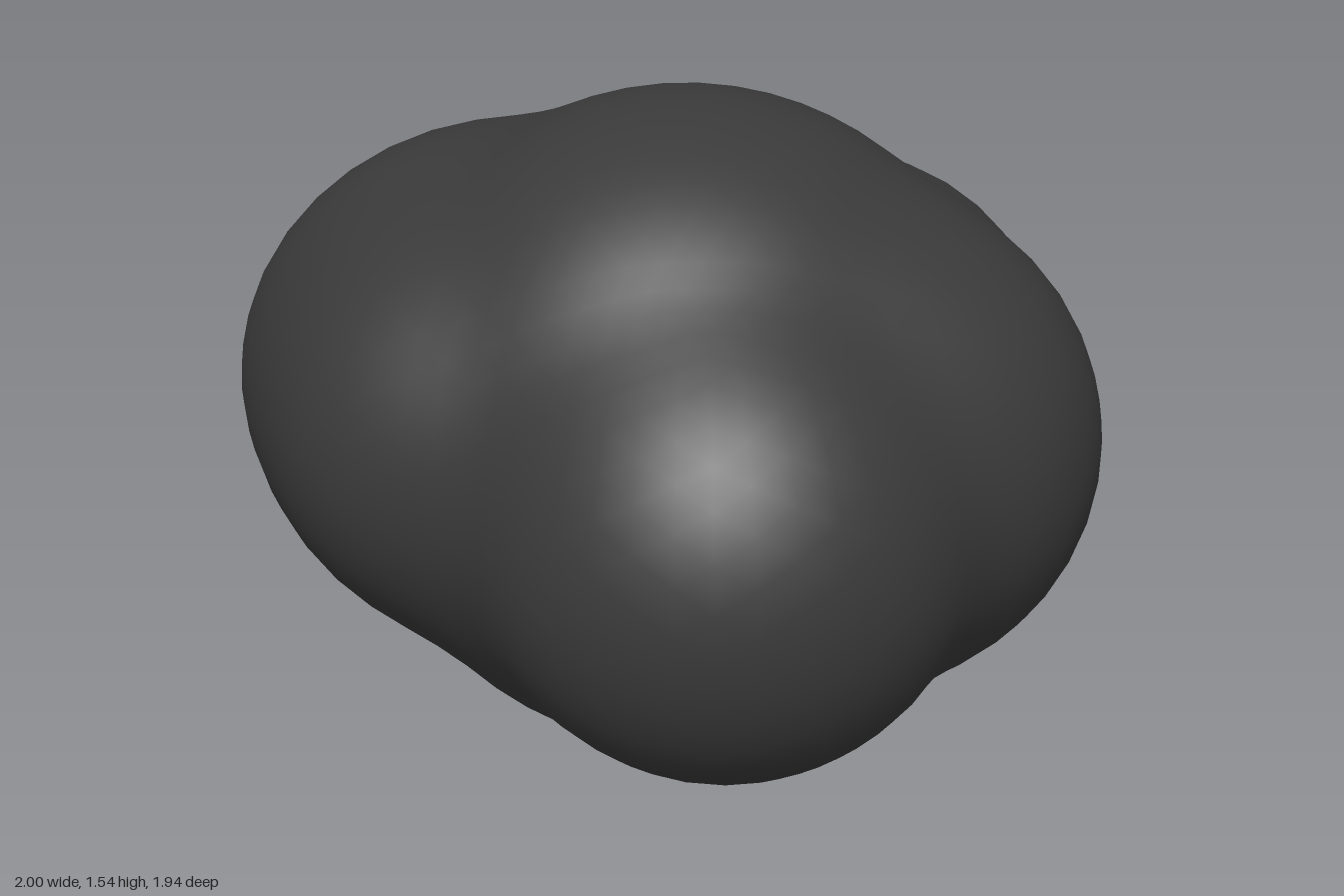
import * as THREE from 'three';
import { mergeVertices } from 'three/addons/utils/BufferGeometryUtils.js';

const CORE = new THREE.Vector3(0.05, 0.772, -0.05);

// Puffs of the cloud: centre x, y, z, then radii along x, y, z
const PUFFS = [
  [0.05, 0.772, -0.05, 0.77, 0.772, 0.77], // core
  [0.11, 0.7, 0.41, 0.56, 0.56, 0.56], // front
  [0.42, 0.76, 0.06, 0.58, 0.585, 0.58], // left
  [0.42, 0.71, -0.41, 0.56, 0.56, 0.56], // back left
  [-0.32, 0.79, -0.31, 0.68, 0.6, 0.66], // back right
  [-0.4, 0.8, -0.02, 0.52, 0.52, 0.52], // right
].map(([x, y, z, rx, ry, rz]) => {
  const radii = new THREE.Vector3(rx, ry, rz);
  return { radii, start: CORE.clone().sub(new THREE.Vector3(x, y, z)).divide(radii) };
});

// Distance from the core's centre to a puff's far surface
function reach({ radii, start }, direction) {
  const step = direction.clone().divide(radii);
  const a = step.lengthSq();
  const b = step.dot(start);
  return (-b + Math.sqrt(b * b - a * (start.lengthSq() - 1))) / a;
}

// Larger of two distances, with a soft fillet where they meet
function softMax(a, b) {
  const blend = 0.1;
  const h = Math.max(blend - Math.abs(a - b), 0);
  return Math.max(a, b) + (h * h) / (4 * blend);
}

export function createModel() {
  const cloud = new THREE.Group();
  cloud.name = 'cloud';

  // One welded skin, pushed outward to the blended puffs
  const ball = new THREE.IcosahedronGeometry(1, 11);
  ball.deleteAttribute('normal');
  ball.deleteAttribute('uv');
  const skin = mergeVertices(ball);
  const position = skin.attributes.position;
  const direction = new THREE.Vector3();
  for (let i = 0; i < position.count; i++) {
    direction.fromBufferAttribute(position, i).normalize();
    const distance = PUFFS.map((puff) => reach(puff, direction)).reduce(softMax);
    direction.multiplyScalar(distance).add(CORE);
    position.setXYZ(i, direction.x, direction.y, direction.z);
  }
  skin.computeVertexNormals();

  const puffs = new THREE.Mesh(skin, new THREE.MeshStandardMaterial({ color: 0x3a3a3a }));
  puffs.name = 'puffs';
  cloud.add(puffs);
  return cloud;
}
